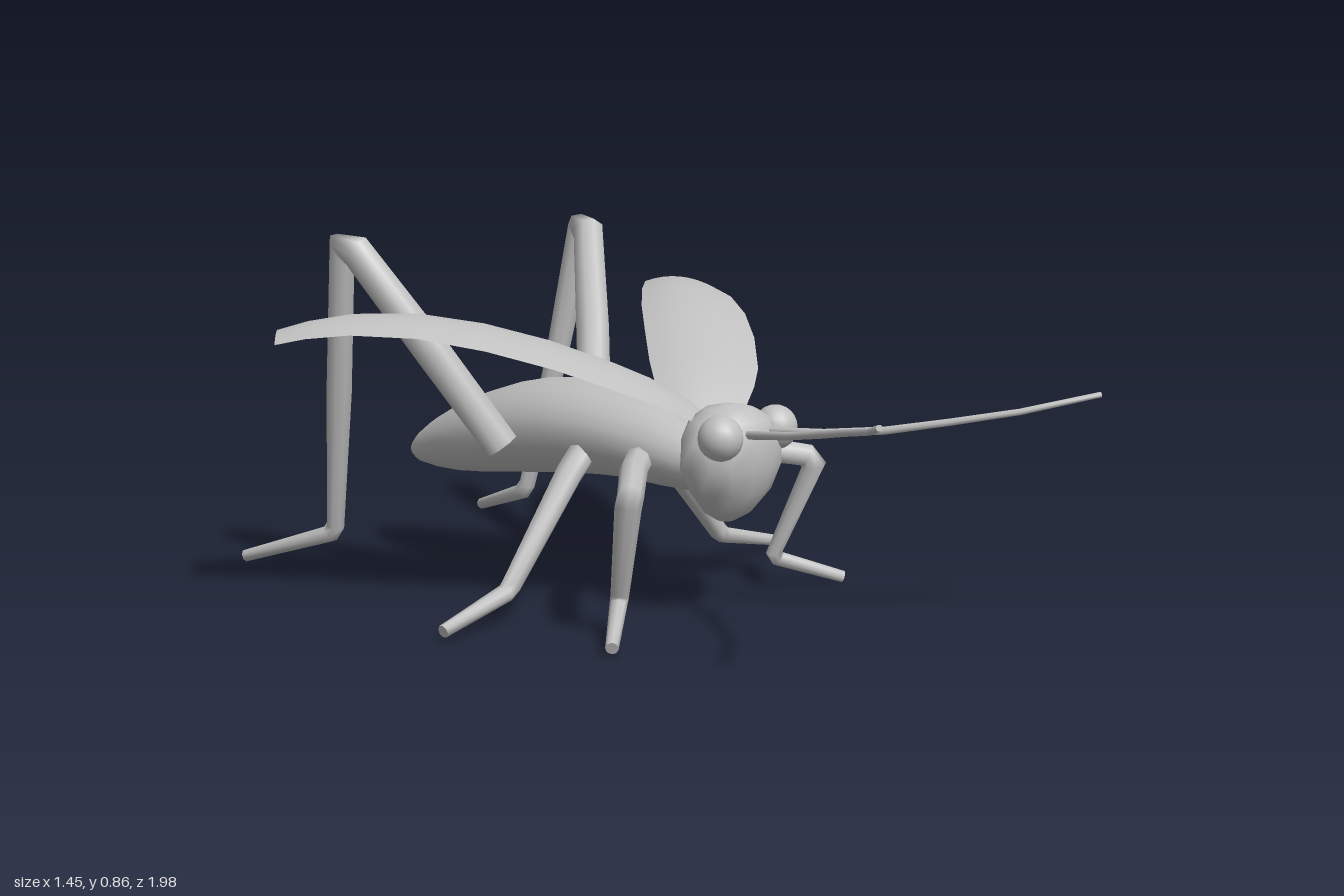
import * as THREE from 'three';

const V = (x, y, z) => new THREE.Vector3(x, y, z);
const shell = new THREE.MeshStandardMaterial({ color: 0xc0c0c0, side: THREE.DoubleSide });
shell.name = 'pale grey';

// Grid of points (rows of equal length) to a smooth surface; closed rows wrap and get flat end caps.
function skin(rows, closed) {
  const n = rows[0].length, pos = [], idx = [];
  rows.forEach(r => r.forEach(p => pos.push(p.x, p.y, p.z)));
  for (let i = 0; i < rows.length - 1; i++) {
    for (let j = 0; j < (closed ? n : n - 1); j++) {
      const k = (j + 1) % n, a = i * n + j, b = i * n + k;
      idx.push(a, b, b + n, a, b + n, a + n);
    }
  }
  if (closed) {
    [rows[0], rows[rows.length - 1]].forEach((row, end) => {
      const base = pos.length / 3, c = V(0, 0, 0);
      row.forEach(p => { pos.push(p.x, p.y, p.z); c.addScaledVector(p, 1 / n); });
      pos.push(c.x, c.y, c.z);
      for (let j = 0; j < n; j++) {
        const a = base + j, b = base + (j + 1) % n;
        idx.push(base + n, end ? a : b, end ? b : a);
      }
    });
  }
  const g = new THREE.BufferGeometry();
  g.setAttribute('position', new THREE.Float32BufferAttribute(pos, 3));
  g.setIndex(idx);
  g.computeVertexNormals();
  return g;
}

// Elliptical ring about centre c in the plane of u and v.
function ring(c, u, v, ru, rv, sides) {
  return Array.from({ length: sides }, (_, j) => {
    const a = j / sides * Math.PI * 2;
    return c.clone().addScaledVector(u, ru * Math.cos(a)).addScaledVector(v, rv * Math.sin(a));
  });
}

// Tapered tube through [x, y, z, radius] points, with a ring at every joint.
function limb(points, side, sides) {
  const p = points.map(q => V(q[0] * side, q[1], q[2]));
  let u = V(1, 0, 0.3);
  const rows = p.map((c, i) => {
    const t = V(0, 0, 0);
    if (i > 0) t.add(c.clone().sub(p[i - 1]).normalize());
    if (i < p.length - 1) t.add(p[i + 1].clone().sub(c).normalize());
    t.normalize();
    u = u.clone().addScaledVector(t, -u.dot(t)).normalize();
    const v = t.clone().cross(u);
    return ring(c, u, v, points[i][3], points[i][3], sides);
  });
  return skin(rows, true);
}

// Wing: rows are [distance along, inner edge, outer edge, height].
function wing(side) {
  const stations = [
    [-0.09, -0.03, 0.04, 0.455], [-0.05, -0.07, 0.085, 0.48], [0, -0.09, 0.112, 0.515],
    [0.07, -0.1, 0.137, 0.555], [0.15, -0.108, 0.153, 0.59], [0.3, -0.114, 0.156, 0.645],
    [0.45, -0.117, 0.145, 0.685], [0.6, -0.112, 0.12, 0.708], [0.75, -0.098, 0.09, 0.708],
    [0.85, -0.08, 0.063, 0.692], [0.92, -0.065, 0.041, 0.672]];
  const rows = stations.map(([s, inner, outer, h]) => Array.from({ length: 9 }, (_, j) => {
    const f = j / 8, w = inner + (outer - inner) * f, bend = 2 * f - 1;
    const x = 0.03 + s * 0.725 + w * 0.69, z = 0.15 - s * 0.69 + w * 0.725;
    const arch = 0.03 * (outer - inner) / 0.26;
    return V(x * side, h - arch * bend * bend - 0.01 * bend, z);
  }));
  return skin(rows, false);
}

export function createModel() {
  const model = new THREE.Group();
  const add = (name, geometry) => {
    const m = new THREE.Mesh(geometry, shell);
    m.name = name;
    model.add(m);
    return m;
  };

  // Body: [z, bottom, top, half width]
  const bodyRows = [
    [0.24, 0.31, 0.45, 0.09], [0.2, 0.295, 0.465, 0.115], [0.1, 0.295, 0.495, 0.137],
    [0, 0.3, 0.51, 0.146], [-0.1, 0.295, 0.52, 0.15], [-0.2, 0.285, 0.52, 0.15],
    [-0.3, 0.272, 0.51, 0.147], [-0.4, 0.26, 0.488, 0.14], [-0.5, 0.246, 0.456, 0.127],
    [-0.6, 0.236, 0.415, 0.106], [-0.69, 0.234, 0.368, 0.08], [-0.75, 0.238, 0.328, 0.055],
    [-0.785, 0.248, 0.3, 0.03], [-0.803, 0.268, 0.28, 0.006]];
  add('body', skin(bodyRows.map(([z, lo, hi, w]) =>
    ring(V(0, (lo + hi) / 2, z), V(1, 0, 0), V(0, -1, 0), w, (hi - lo) / 2, 20)), true));

  // Head, narrowing to the mouth: [y, z, half width, half depth]
  const headRows = [
    [0.235, 0.26, 0.02, 0.02], [0.258, 0.265, 0.06, 0.055], [0.31, 0.273, 0.108, 0.085],
    [0.37, 0.275, 0.144, 0.098], [0.43, 0.275, 0.138, 0.098], [0.475, 0.272, 0.105, 0.085],
    [0.498, 0.268, 0.06, 0.055], [0.507, 0.265, 0.015, 0.015]];
  add('head', skin(headRows.map(([y, z, w, d]) =>
    ring(V(0, y, z), V(1, 0, 0), V(0, 0, -1), w, d, 14)), true));

  for (const side of [1, -1]) {
    const label = side > 0 ? 'left' : 'right';

    add(label + 'Eye', new THREE.SphereGeometry(0.052, 18, 12))
      .position.set(0.099 * side, 0.447, 0.325);

    // Feelers, one held slightly higher than the other
    const lift = side > 0 ? 0 : 0.038;
    add(label + 'Antenna', limb([
      [0.035, 0.448, 0.34, 0.011], [0.062, 0.458 + lift * 0.25, 0.49, 0.01],
      [0.115, 0.472 + lift * 0.6, 0.62, 0.01], [0.19, 0.494 + lift * 0.75, 0.735, 0.009],
      [0.283, 0.52 + lift * 0.85, 0.86, 0.008], [0.42, 0.555 + lift, 0.98, 0.007]], side, 6));

    add(label + 'Wing', wing(side));

    add(label + 'FrontLeg', limb([
      [0.1, 0.375, 0.085, 0.034], [0.2, 0.365, 0.155, 0.032], [0.315, 0.34, 0.25, 0.03],
      [0.335, 0.315, 0.26, 0.03], [0.28, 0.095, 0.185, 0.021], [0.29, 0.078, 0.19, 0.02],
      [0.42, 0.025, 0.29, 0.015]], side, 8));

    add(label + 'MiddleLeg', limb([
      [0.1, 0.385, -0.08, 0.034], [0.17, 0.325, -0.075, 0.033], [0.37, 0.095, -0.068, 0.024],
      [0.39, 0.08, -0.067, 0.022], [0.59, 0.032, -0.062, 0.015]], side, 8));

    add(label + 'HindLeg', limb([
      [0.165, 0.36, -0.305, 0.044], [0.28, 0.59, -0.42, 0.045], [0.4, 0.83, -0.548, 0.042],
      [0.415, 0.838, -0.583, 0.042], [0.38, 0.48, -0.65, 0.032], [0.34, 0.13, -0.725, 0.023],
      [0.34, 0.105, -0.745, 0.023], [0.42, 0.022, -0.99, 0.016]], side, 8));
  }
  return model;
}
